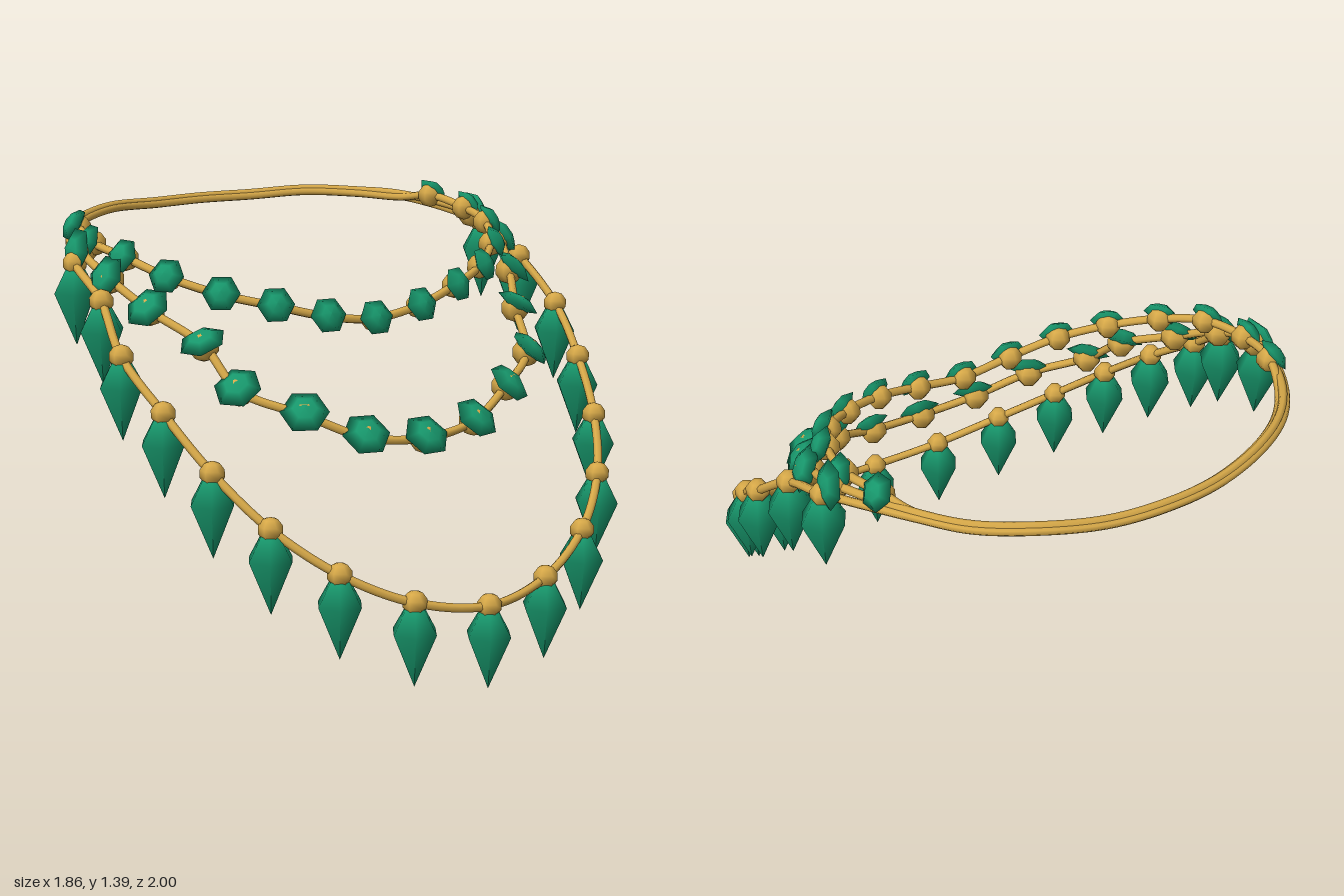
import * as THREE from 'three';

const GOLD = new THREE.MeshStandardMaterial({ color: 0xd6a848 });
const GREEN = new THREE.MeshStandardMaterial({ color: 0x17966b });

// Half strands, from the front centre round the model's left side.
// tilt: how far each flat gem leans up from facing outward
const STRANDS = [
  { name: 'innerStrand', gem: 0.063, bead: 0.044, back: 0,
    tilt: [0.4, 0.4, 0.4, 0.45, 0.5, 0.5, 0.4, 0.6],
    points: [[0, 1.08, 0.24], [0.18, 1.105, 0.235], [0.35, 1.15, 0.195], [0.505, 1.19, 0.12],
      [0.635, 1.24, 0], [0.715, 1.29, -0.15], [0.745, 1.315, -0.33], [0.715, 1.34, -0.51]] },
  { name: 'middleStrand', gem: 0.08, bead: 0.05, back: 1,
    tilt: [0.8, 0.8, 0.8, 0.85, 1.1, 0.8, 0.5, 0.25],
    points: [[0, 0.74, 0.55], [0.21, 0.765, 0.525], [0.39, 0.845, 0.45], [0.56, 0.92, 0.33],
      [0.61, 1.045, 0.19], [0.71, 1.14, 0.01], [0.775, 1.225, -0.15], [0.785, 1.29, -0.34]] },
  { name: 'outerStrand', bead: 0.041, back: 2,
    points: [[0, 0.28, 0.93], [0.25, 0.32, 0.885], [0.465, 0.42, 0.79], [0.63, 0.555, 0.65], [0.74, 0.71, 0.48],
      [0.81, 0.87, 0.29], [0.855, 1.02, 0.09], [0.83, 1.165, -0.1], [0.82, 1.255, -0.32]] },
];
// Shared path of the cords behind the neck
const BACK = [[0.67, 1.325, -0.64], [0.56, 1.33, -0.78], [0.4, 1.335, -0.89], [0.2, 1.325, -0.957], [0, 1.325, -0.978]];

// Six-sided turned shape with corners on the x axis
function lathe(profile) {
  const g = new THREE.LatheGeometry(profile.map(([r, y]) => new THREE.Vector2(r, y)), 6);
  return g.rotateY(Math.PI / 6);
}

function add(parent, geometry, material, name, position) {
  const mesh = new THREE.Mesh(geometry, material);
  mesh.name = name;
  if (position) mesh.position.copy(position);
  parent.add(mesh);
  return mesh;
}

// Mirrors a half path; a path ending at the back centre does not repeat that point
function mirrored(half, endsAtCentre) {
  const right = half.slice(1, endsAtCentre ? -1 : undefined).reverse().map(p => new THREE.Vector3(-p.x, p.y, p.z));
  return [...half, ...right];
}

export function createModel() {
  const model = new THREE.Group();
  model.name = 'necklace';

  // Hanging hexagonal drop, measured from its bead
  const drop = lathe([[0, -0.276], [0.077, -0.095], [0.035, -0.02], [0, -0.02]]);

  for (const s of STRANDS) {
    const group = new THREE.Group();
    group.name = s.name;
    model.add(group);

    // Cord: one closed loop, the three fanned slightly at the back
    const half = s.points.map(p => new THREE.Vector3(...p));
    const back = BACK.map(([x, y, z]) => {
      const k = 1 + (s.back - 1) * 0.011;
      return new THREE.Vector3(x * k, y + (s.back === 1 ? 0.007 : -0.003), z * k);
    });
    const curve = new THREE.CatmullRomCurve3(mirrored([...half, ...back], true), true);
    add(group, new THREE.TubeGeometry(curve, 180, 0.0145, 7, true), GOLD, 'cord');

    const beadGeometry = new THREE.SphereGeometry(s.bead, 6, 5).rotateY(Math.PI / 6);
    const gemGeometry = s.gem && lathe([[0, -0.032], [s.gem, 0], [s.gem * 0.5, 0.024], [0, 0.029]]);
    const stations = mirrored(half, false);
    const n = half.length;

    stations.forEach((p, i) => {
      add(group, beadGeometry, GOLD, 'bead', p);
      if (!s.gem) {
        add(group, drop, GREEN, 'dropGem', p);
        return;
      }
      // Flat gem frame: facing out from the cord, leaning upward
      const side = i < n ? 1 : -1;
      const k = i < n ? i : stations.length - i;
      const along = half[Math.min(k + 1, n - 1)].clone().sub(half[Math.max(k - 1, 0)]).setY(0).normalize();
      if (k === 0) along.set(1, 0, 0);
      const normal = new THREE.Vector3(-along.z, 0, along.x).multiplyScalar(Math.cos(s.tilt[k]));
      normal.y = Math.sin(s.tilt[k]);
      along.x *= side;
      normal.x *= side;
      const across = new THREE.Vector3().crossVectors(along, normal);
      const gem = add(group, gemGeometry, GREEN, 'flatGem', p.clone().addScaledVector(normal, 0.019));
      gem.quaternion.setFromRotationMatrix(new THREE.Matrix4().makeBasis(along, normal, across));
    });
  }
  return model;
}
